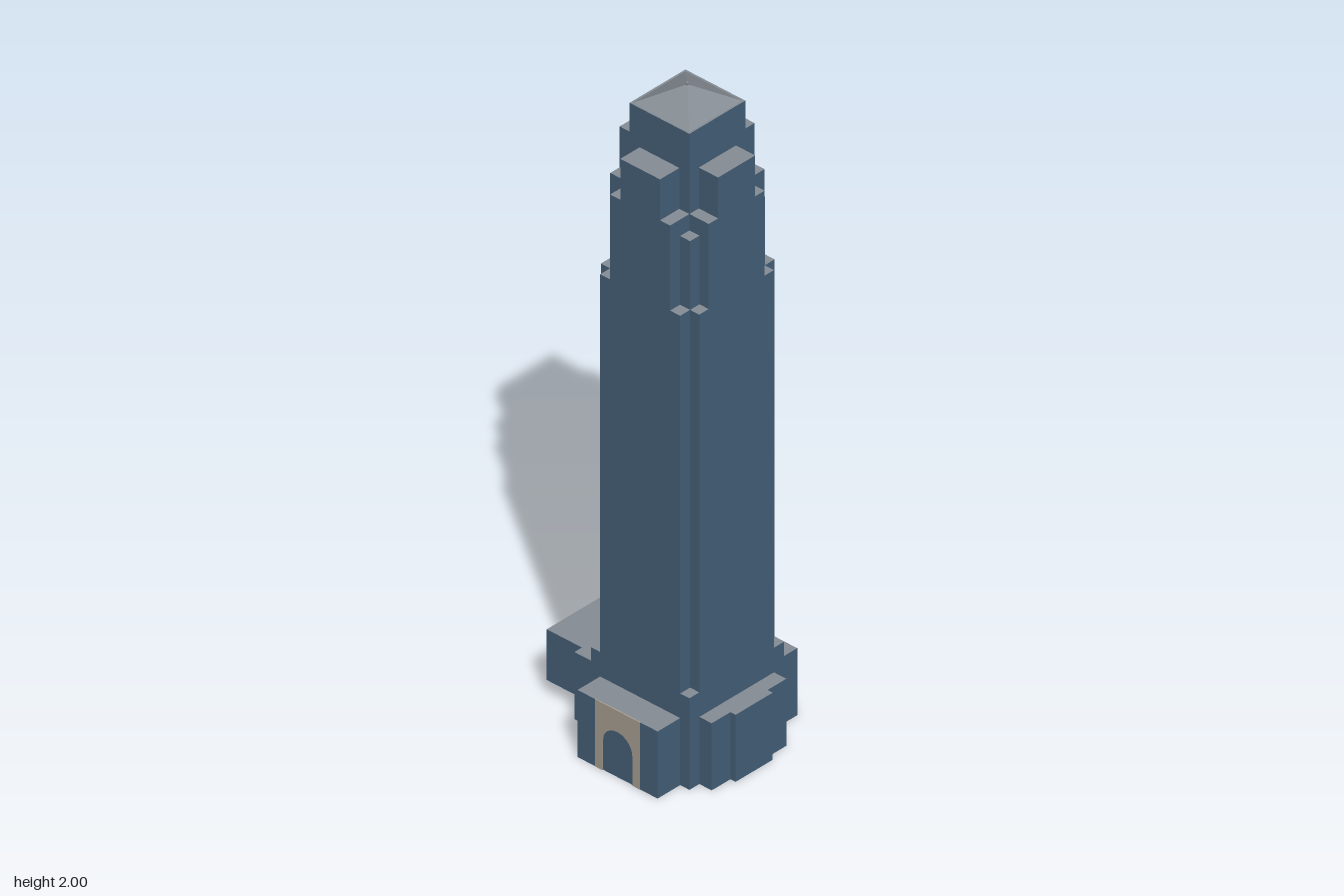
import * as THREE from 'three';
import { mergeGeometries } from 'three/addons/utils/BufferGeometryUtils.js';

const mat = (color) => new THREE.MeshStandardMaterial({ color, side: THREE.DoubleSide });
const wallMat = mat(0x456079);
const roofMat = mat(0x868d94);
const stoneMat = mat(0xa89f92);

// Mirror one quarter of a plan (from the +x side round to the +z side) into a full outline
function fullPlan(quarter) {
  const back = [...quarter].reverse();
  return [
    ...quarter,
    ...back.map(([x, z]) => [-x, z]),
    ...quarter.map(([x, z]) => [-x, -z]),
    ...back.map(([x, z]) => [x, -z]),
  ];
}

const toShape = (plan) => new THREE.Shape(plan.map(([x, z]) => new THREE.Vector2(x, -z)));

// Upright prism with grey roof and blue walls
function storey(name, plan, y0, y1) {
  const geo = new THREE.ExtrudeGeometry(toShape(plan), { depth: y1 - y0, bevelEnabled: false });
  geo.rotateX(-Math.PI / 2).translate(0, y0, 0);
  const mesh = new THREE.Mesh(geo, [roofMat, wallMat]);
  mesh.name = name;
  return mesh;
}

// Row of flat walls following an open path, with no floor
function walls(path, height) {
  const parts = [];
  for (let i = 0; i < path.length - 1; i++) {
    const [ax, az] = path[i], [bx, bz] = path[i + 1];
    const plane = new THREE.PlaneGeometry(Math.hypot(bx - ax, bz - az), height);
    plane.rotateY(Math.atan2(-(bz - az), bx - ax));
    plane.translate((ax + bx) / 2, height / 2, (az + bz) / 2);
    parts.push(plane);
  }
  return mergeGeometries(parts);
}

export function createModel() {
  const model = new THREE.Group();
  model.name = 'tower';
  model.position.x = 0.075;
  model.rotation.y = 0.018;
  const add = (name, geo, material) => {
    const mesh = new THREE.Mesh(geo, material);
    mesh.name = name;
    model.add(mesh);
    return mesh;
  };

  // Podium: stepped outline, broken at the portal, open underneath
  const H = 0.205, P = 0.078, F = 0.26;
  const X = 0.171, Z = 0.176, N = 0.139, C = 0.104, A = 0.069;
  const podium = [
    [P, F], [N, F], [N, Z], [X, Z], [X, N], [0.214, N], [0.214, A], [0.232, A],
    [0.232, -A], [0.214, -A], [0.214, -N], [X, -N], [X, -Z], [N, -Z], [N, -F],
    [-N, -F], [-N, -Z], [-X, -Z], [-X, -N], [-0.263, -N],
    [-0.263, N], [-X, N], [-X, Z], [-N, Z], [-N, F], [-P, F],
  ];
  add('podiumWalls', walls(podium, H), wallMat);
  const roof = new THREE.ShapeGeometry(toShape(podium));
  roof.rotateX(-Math.PI / 2).translate(0, H, 0);
  add('podiumRoof', roof, roofMat);

  // Raised side wing
  model.add(storey('sideWing', [[-0.385, 0.111], [-0.263, 0.111], [-0.263, -0.111], [-0.385, -0.111]], 0.05, H));

  // Stone portal with a round arch and a door behind it
  const R = 0.052, spring = 0.088;
  const panel = new THREE.Shape();
  panel.moveTo(-P, 0);
  panel.lineTo(-R, 0);
  panel.lineTo(-R, spring);
  panel.absarc(0, spring, R, Math.PI, 0, true);
  panel.lineTo(R, 0);
  panel.lineTo(P, 0);
  panel.lineTo(P, H);
  panel.lineTo(-P, H);
  const portal = new THREE.ExtrudeGeometry(panel, { depth: 0.004, bevelEnabled: false, curveSegments: 16 });
  add('portalSurround', portal, stoneMat).position.z = F - 0.003;
  const door = new THREE.Shape();
  door.moveTo(-R, 0);
  door.lineTo(R, 0);
  door.lineTo(R, spring);
  door.absarc(0, spring, R, 0, Math.PI, false);
  add('door', new THREE.ShapeGeometry(door, 16), wallMat).position.z = F - 0.002;

  // Shaft: each storey steps further in at the corners
  const storeys = [
    ['shaftBase', [[X, Z]], H, 0.28],
    ['shaft', [[X, N], [N, N], [N, Z]], 0.28, 1.435],
    ['upperShaft', [[X, C], [N, C], [N, N], [C, N], [C, Z]], 1.435, 1.645],
    ['shoulders', [[X, C], [C, C], [C, Z]], 1.645, 1.695],
    ['crownArms', [[X, A], [C, A], [C, C], [A, C], [A, Z]], 1.695, 1.82],
    ['lantern', [[C, C]], 1.82, 1.94],
  ];
  for (const [name, quarter, y0, y1] of storeys) model.add(storey(name, fullPlan(quarter), y0, y1));

  // Pyramid roof and its small tip
  const pyramid = new THREE.CylinderGeometry(0.004, 0.098 * Math.SQRT2, 0.052, 4, 1);
  pyramid.rotateY(Math.PI / 4);
  const pyramidMat = roofMat.clone();
  pyramidMat.flatShading = true;
  add('pyramidRoof', pyramid, pyramidMat).position.y = 1.966;
  add('roofTip', new THREE.BoxGeometry(0.007, 0.01, 0.007), roofMat).position.y = 1.995;

  const root = new THREE.Group();
  root.name = 'skyscraper';
  root.add(model);
  return root;
}
